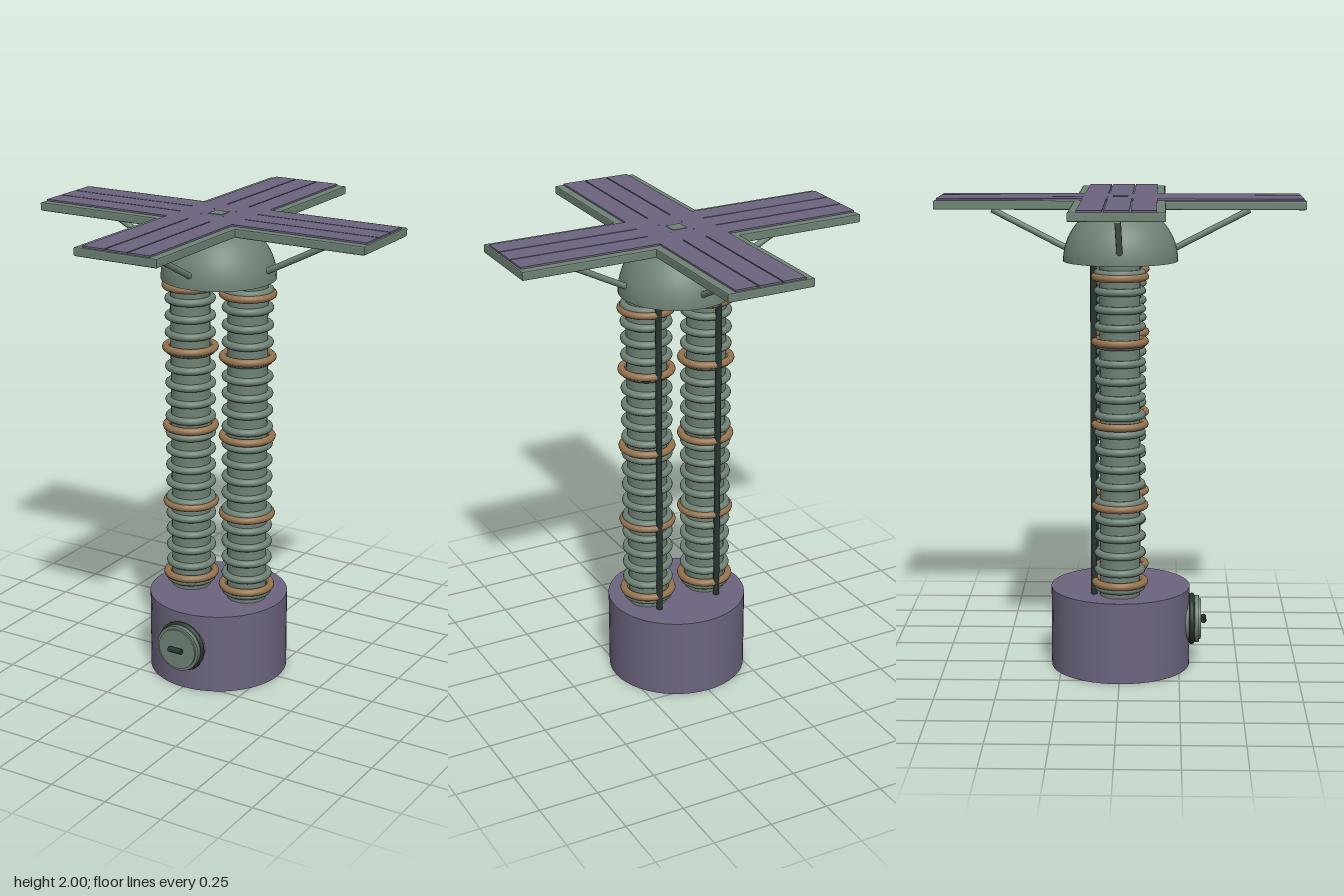
import * as THREE from 'three';

const mat = (name, color) => {
  const m = new THREE.MeshStandardMaterial({ color });
  m.name = name;
  return m;
};

export function createModel() {
  const green = mat('sage green', 0x6f8275);
  const purple = mat('dusty purple', 0x6c647e);
  const copper = mat('copper', 0x967450);
  const dark = mat('dark green', 0x27332f);

  const model = new THREE.Group();
  model.name = 'solarTower';

  const add = (parent, name, geometry, material, x = 0, y = 0, z = 0) => {
    const mesh = new THREE.Mesh(geometry, material);
    mesh.name = name;
    mesh.position.set(x, y, z);
    parent.add(mesh);
    return mesh;
  };

  // Drum base
  add(model, 'base', new THREE.CylinderGeometry(0.295, 0.295, 0.345, 48), purple, 0, 0.1725, 0);

  // Round hatch on the front of the base
  const hatch = new THREE.Group();
  hatch.name = 'hatch';
  hatch.position.set(0, 0.197, 0);
  model.add(hatch);
  add(hatch, 'hatchSeal', new THREE.TorusGeometry(0.098, 0.013, 10, 18), dark, 0, 0, 0.304);
  add(hatch, 'hatchDoor', new THREE.CylinderGeometry(0.1, 0.1, 0.065, 32).rotateX(Math.PI / 2), green, 0, 0, 0.3025);
  add(hatch, 'hatchPlate', new THREE.CylinderGeometry(0.088, 0.088, 0.008, 32).rotateX(Math.PI / 2), green, 0, 0, 0.339);
  add(hatch, 'hatchHandle', new THREE.CylinderGeometry(0.012, 0.012, 0.062, 12).rotateZ(Math.PI / 2), dark, 0, 0, 0.355);

  // Two ribbed columns with copper bands and a cable behind each
  const columnGeo = new THREE.CylinderGeometry(0.083, 0.083, 1.4, 32);
  const ribGeo = new THREE.TorusGeometry(0.091, 0.016, 10, 32).rotateX(Math.PI / 2);
  const bandGeo = new THREE.TorusGeometry(0.103, 0.016, 10, 32).rotateX(Math.PI / 2);
  const cableGeo = new THREE.CylinderGeometry(0.013, 0.013, 1.4, 12);
  for (const side of [-1, 1]) {
    const column = new THREE.Group();
    column.name = side > 0 ? 'leftColumn' : 'rightColumn';
    column.position.x = side * 0.138;
    model.add(column);
    add(column, 'tube', columnGeo, green, 0, 1.04, 0);
    for (let i = 0; i < 19; i++) add(column, 'rib', ribGeo, green, 0, 0.381 + i * 0.0732, 0);
    for (const y of [0.402, 0.73, 1.073, 1.417, 1.683]) add(column, 'band', bandGeo, copper, 0, y, 0);
    add(column, 'cable', cableGeo, dark, 0, 1.04, -0.108);
  }

  // Closed dome under the panel
  const dome = new THREE.Group();
  dome.name = 'dome';
  dome.position.y = 1.732;
  model.add(dome);
  add(dome, 'domeShell', new THREE.SphereGeometry(0.238, 40, 16, 0, Math.PI * 2, 0, Math.PI / 2), green);
  add(dome, 'domeFloor', new THREE.CircleGeometry(0.238, 40).rotateX(Math.PI / 2), green);

  // Four struts from the dome to the panel arms
  const start = new THREE.Vector3(0.17, 1.757, 0);
  const end = new THREE.Vector3(0.53, 1.942, 0);
  const dir = end.clone().sub(start);
  for (let i = 0; i < 4; i++) {
    const arm = new THREE.Group();
    arm.name = 'strutArm';
    arm.rotation.y = i * Math.PI / 2;
    model.add(arm);
    const strut = add(arm, 'strut', new THREE.CylinderGeometry(0.013, 0.013, dir.length(), 12), green);
    strut.position.copy(start).add(end).multiplyScalar(0.5);
    strut.quaternion.setFromUnitVectors(new THREE.Vector3(0, 1, 0), dir.clone().normalize());
  }

  // Cross-shaped panel frame with a fine bevel
  const bevel = 0.005;
  const L = 0.75 - bevel, W = 0.185 - bevel;
  const cross = new THREE.Shape([
    [W, W], [W, L], [-W, L], [-W, W], [-L, W], [-L, -W],
    [-W, -W], [-W, -L], [W, -L], [W, -W], [L, -W], [L, W],
  ].map(([x, y]) => new THREE.Vector2(x, y)));
  const frameGeo = new THREE.ExtrudeGeometry(cross, {
    depth: 0.026, bevelEnabled: true, bevelSize: bevel, bevelThickness: bevel, bevelSegments: 2,
  }).rotateX(-Math.PI / 2);
  add(model, 'panelFrame', frameGeo, green, 0, 1.955 + bevel, 0);

  // Solar strips crossing at the centre; the second set only fills what the first leaves open
  const panels = new THREE.Group();
  panels.name = 'solarPanels';
  panels.position.y = 1.9945;
  model.add(panels);
  const stripWidth = 0.097, reach = 0.742, inner = 0.15;
  for (const offset of [-0.1025, 0, 0.1025]) {
    add(panels, 'longStrip', new THREE.BoxGeometry(reach * 2, 0.007, stripWidth), purple, 0, 0, offset);
    for (const s of [-1, 1]) {
      add(panels, 'crossStrip', new THREE.BoxGeometry(stripWidth, 0.007, reach - inner), purple,
        offset, 0, s * (reach + inner) / 2);
      // Bridges across the gaps between long strips
      add(panels, 'bridge', new THREE.BoxGeometry(stripWidth, 0.007, 0.0055), purple, offset, 0, s * 0.05125);
    }
  }

  // Small cap at the centre of the panel
  add(model, 'centreCap', new THREE.BoxGeometry(0.062, 0.006, 0.062), green, 0, 1.997, 0);

  return model;
}
